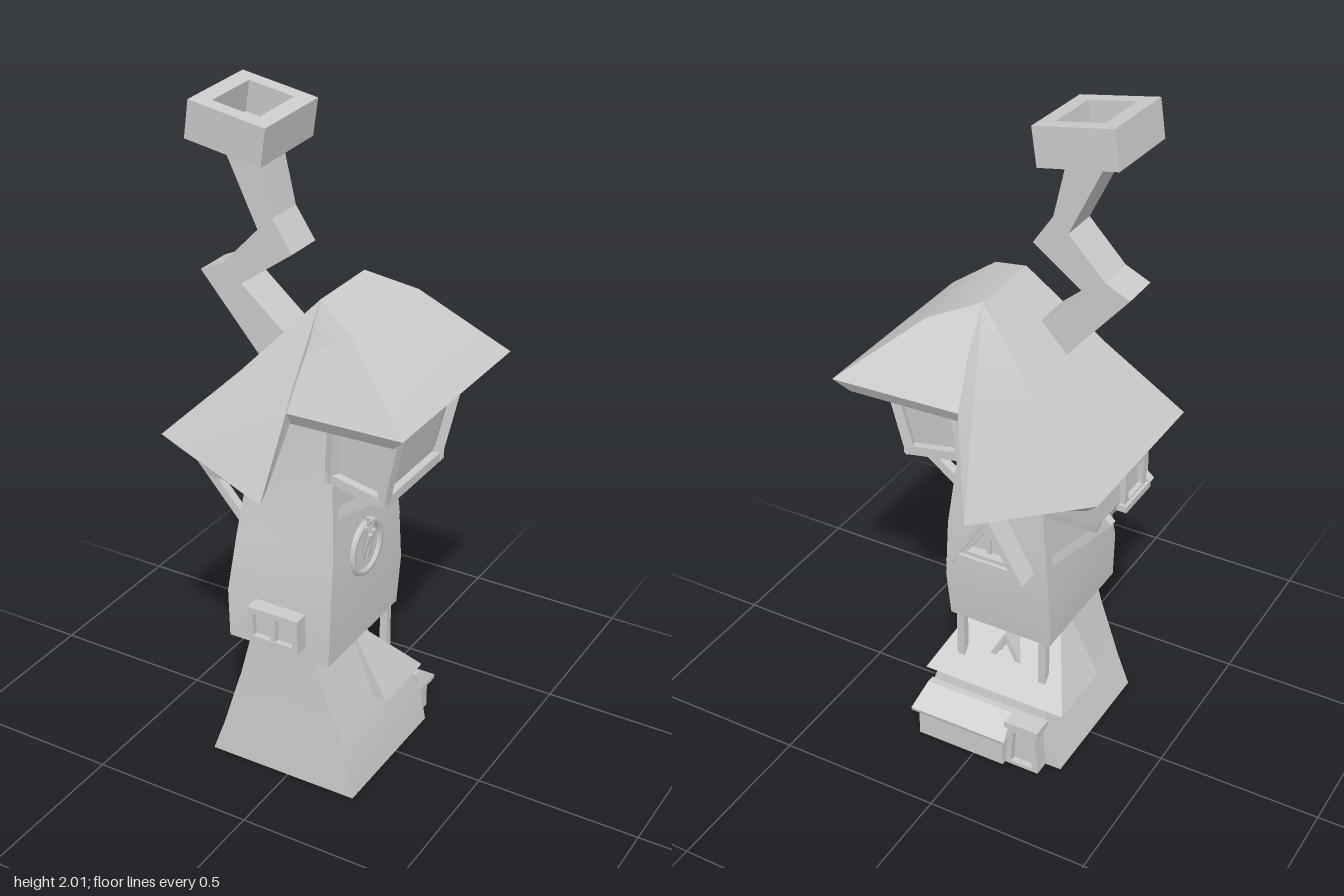
import * as THREE from 'three';
import { toCreasedNormals } from 'three/addons/utils/BufferGeometryUtils.js';

const material = new THREE.MeshStandardMaterial({ color: 0xcccccc });
const V = (x, y, z) => new THREE.Vector3(x, y, z);

export function createModel() {
  const model = new THREE.Group();

  const add = (name, geometry, x = 0, y = 0, z = 0, parent = model) => {
    const mesh = new THREE.Mesh(geometry, material);
    mesh.name = name;
    mesh.position.set(x, y, z);
    parent.add(mesh);
    return mesh;
  };
  const group = (name, x = 0, y = 0, z = 0) => {
    const g = new THREE.Group();
    g.name = name;
    g.position.set(x, y, z);
    model.add(g);
    return g;
  };

  // Rectangular ring at height y, counter-clockwise from above
  const rect = (y, x0, x1, z0, z1) => [V(x0, y, z1), V(x1, y, z1), V(x1, y, z0), V(x0, y, z0)];

  // Skin over a stack of rings, closed at both ends
  const loft = (rings, crease = 0.45) => {
    const n = rings[0].length, last = (rings.length - 1) * n, index = [];
    for (let k = 0; k < rings.length - 1; k++)
      for (let i = 0; i < n; i++) {
        const a = k * n + i, b = k * n + (i + 1) % n;
        index.push(a, b, b + n, a, b + n, a + n);
      }
    for (let i = 1; i < n - 1; i++) index.push(0, i + 1, i, last, last + i, last + i + 1);
    const g = new THREE.BufferGeometry().setFromPoints(rings.flat());
    g.setIndex(index);
    return toCreasedNormals(g, crease);
  };

  // Square timber between two points
  const beam = (name, a, b, w, parent = model) => {
    const m = add(name, new THREE.BoxGeometry(w, w, a.distanceTo(b) + w * 0.9), 0, 0, 0, parent);
    m.position.copy(a).add(b).multiplyScalar(0.5);
    m.lookAt(b);
    return m;
  };

  const extrude = (points, depth, holePoints) => {
    const shape = new THREE.Shape(points.map(p => new THREE.Vector2(...p)));
    if (holePoints) shape.holes.push(new THREE.Path(holePoints.map(p => new THREE.Vector2(...p))));
    return new THREE.ExtrudeGeometry(shape, { depth, bevelEnabled: false });
  };
  const rectPoints = (w, h) => [[-w / 2, -h / 2], [w / 2, -h / 2], [w / 2, h / 2], [-w / 2, h / 2]];

  // Flared base and the main storey
  add('base', loft([
    rect(0, -0.26, 0.22, -0.19, 0.26), rect(0.1, -0.225, 0.2, -0.19, 0.255),
    rect(0.2, -0.195, 0.17, -0.17, 0.25), rect(0.3, -0.165, 0.125, -0.08, 0.245),
    rect(0.44, -0.13, 0.075, 0, 0.24)]));
  const body = loft([
    rect(0.42, -0.2, 0.13, -0.155, 0.245), rect(0.57, -0.205, 0.135, -0.17, 0.242),
    rect(0.75, -0.188, 0.128, -0.165, 0.215), rect(0.98, -0.165, 0.1, -0.15, 0.17),
    rect(1.2, -0.16, 0.1, -0.14, 0.16)]);
  add('tower', body);

  // Main roof: underside, eave, mid slope and ridge
  const eave = [
    V(-0.39, 1.04, 0.275), V(-0.03, 0.945, 0.335), V(0.02, 1.21, 0.275), V(0.385, 1.235, 0.305),
    V(0.385, 1.235, -0.325), V(0.02, 1.21, -0.275), V(-0.03, 0.9, -0.335), V(-0.39, 1.04, -0.255)];
  const mid = [
    V(-0.18, 1.25, 0.19), V(0, 1.245, 0.215), V(0.03, 1.35, 0.19), V(0.16, 1.423, 0.17),
    V(0.16, 1.423, -0.195), V(0.03, 1.35, -0.2), V(0, 1.23, -0.225), V(-0.18, 1.25, -0.193)];
  const ridge = eave.map(p => V(0.025, 1.475, p.z > 0 ? 0.105 : -0.13));
  const lip = eave.map(p => V(p.x * 0.9, p.y + (p.y < 1 ? 0.03 : -0.04), p.z * 0.92));
  const soffit = eave.map(p => V(p.x * 0.5, 1.19, p.z * 0.5));
  add('roof', loft([soffit, lip, eave, mid, ridge], 0.5));

  // Crooked chimney with a hollow, tilted cap
  add('chimney', extrude([
    [-0.1, 1.24], [0.0, 1.3], [-0.065, 1.37], [-0.2, 1.485], [-0.04, 1.6], [-0.1, 1.69],
    [-0.145, 1.89], [-0.26, 1.89], [-0.145, 1.65], [-0.255, 1.535], [-0.33, 1.5], [-0.145, 1.285]],
  0.12), 0, 0, 0.022);
  const cap = group('chimneyCap', -0.2, 1.926, 0.075);
  cap.rotation.set(0.04, 0, -0.17);
  const rim = add('capRim', extrude(rectPoints(0.235, 0.26), 0.11, rectPoints(0.14, 0.175)), 0, -0.055, 0, cap);
  rim.rotation.x = -Math.PI / 2;
  add('capFloor', new THREE.BoxGeometry(0.2, 0.02, 0.22), 0, -0.045, 0, cap);

  // Glazed bay on the left side, carried by two struts
  const bayBottom = [V(0.09, 0.985, 0.16), V(0.255, 0.955, 0.165), V(0.255, 0.955, -0.15), V(0.09, 0.985, -0.15)];
  const bayTop = [V(0.11, 1.21, 0.17), V(0.31, 1.215, 0.175), V(0.31, 1.215, -0.17), V(0.11, 1.21, -0.165)];
  const bay = group('bayWindow');
  const inset = p => V(p.x - 0.012, p.y, p.z * 0.93);
  add('bayGlass', loft([bayBottom.map(inset), bayTop.map(inset)]), 0, 0, 0, bay);
  for (let i = 0; i < 4; i++) {
    beam('bayPost', bayBottom[i], bayTop[i], 0.028, bay);
    beam('baySill', bayBottom[i], bayBottom[(i + 1) % 4], 0.028, bay);
    beam('bayHead', bayTop[i], bayTop[(i + 1) % 4], 0.028, bay);
  }
  for (const z of [0.15, -0.12]) beam('bayStrut', V(0.1, 0.865, z), V(0.22, 0.955, z), 0.028);

  // Oriel on the right side with a small window and long struts
  add('oriel', loft([
    rect(0.86, -0.33, -0.1, -0.14, 0.14), rect(0.9, -0.345, -0.1, -0.15, 0.15),
    rect(1.06, -0.335, -0.1, -0.16, 0.16)], 0.2));
  const small = group('orielWindow', -0.33, 0.94, 0.04);
  small.rotation.y = -Math.PI / 2;
  add('windowFrame', extrude(rectPoints(0.13, 0.12), 0.03, rectPoints(0.09, 0.08)), 0, 0, 0, small);
  add('windowSill', new THREE.BoxGeometry(0.15, 0.02, 0.05), 0, -0.055, 0.015, small);
  for (const z of [0.12, -0.12]) beam('orielStrut', V(-0.355, 0.895, z), V(-0.18, 0.695, z), 0.026);

  // Front window box with two panes
  const box = group('frontWindow', -0.028, 0.515, 0.2);
  add('windowFrame', extrude(rectPoints(0.165, 0.11), 0.088, rectPoints(0.13, 0.075)), 0, 0, 0, box);
  add('windowPane', new THREE.BoxGeometry(0.14, 0.085, 0.06), 0, 0, 0.04, box);
  add('windowMullion', new THREE.BoxGeometry(0.015, 0.085, 0.03), 0, 0, 0.07, box);

  // Round window with a star of glazing bars
  const round = group('roundWindow', 0.13, 0.71, 0.035);
  round.rotation.y = Math.PI / 2;
  add('roundFrame', new THREE.TorusGeometry(0.078, 0.012, 6, 24), 0, 0, 0, round);
  const star = i => V(Math.sin(i * Math.PI * 0.4) * 0.076, Math.cos(i * Math.PI * 0.4) * 0.076, 0.002);
  for (let i = 0; i < 5; i++) beam('starBar', star(i), star(i + 2), 0.009, round);

  // Triangular dormers at the back
  const dormer = (name, x, y, z, half, height, depth) => {
    const g = group(name, x, y, z);
    const tri = (k, lift) => [[-half * k, lift], [half * k, lift], [0, lift + height * k]];
    add('dormerFrame', extrude(tri(1, 0), depth, tri(0.6, height * 0.14)), 0, 0, 0.012, g);
    add('dormerPane', extrude(tri(0.75, height * 0.07), depth - 0.04), 0, 0, 0.04, g);
    add('dormerBar', new THREE.BoxGeometry(0.01, height * 0.75, 0.015), 0, height * 0.45, 0.035, g);
    const o = half * 1.25, t = height * 0.17;
    add('dormerRoof', extrude([[-o, -t], [-o + 0.018, -t - 0.008], [0, height - 0.012],
      [o - 0.018, -t - 0.008], [o, -t], [0, height + t]], depth), 0, 0, 0, g);
    add('dormerSill', new THREE.BoxGeometry(half * 2, 0.02, depth), 0, 0, depth / 2, g);
  };
  dormer('upperDormer', -0.03, 0.7, -0.235, 0.1, 0.152, 0.13);
  dormer('lowerDormer', -0.03, 0.25, -0.115, 0.062, 0.105, 0.13);

  // Back porch: lean-to roof and posts under the main storey
  add('porchRoof', loft([
    rect(0.2, -0.26, 0.205, -0.185, 0.04), rect(0.44, -0.135, 0.08, 0.03, 0.04)]));
  for (const x of [-0.165, 0.11])
    add('porchPost', new THREE.BoxGeometry(0.024, 0.19, 0.024), x, 0.335, -0.125);

  // Small shed and the back door
  add('shed', new THREE.BoxGeometry(0.29, 0.1, 0.08), 0.045, 0.05, -0.215);
  add('shedRoof', loft([
    rect(0.095, -0.115, 0.205, -0.272, -0.18), rect(0.107, -0.115, 0.205, -0.275, -0.18),
    rect(0.16, -0.1, 0.19, -0.2, -0.175)], 0.1));
  const door = group('backDoor', -0.155, 0, -0.24);
  add('doorFrame', extrude([[-0.055, 0], [0.055, 0], [0.043, 0.145], [-0.043, 0.145]], 0.06,
    [[-0.036, 0.012], [0.036, 0.012], [0.028, 0.125], [-0.028, 0.125]]), 0, 0, 0, door);
  add('doorLeaf', new THREE.BoxGeometry(0.07, 0.13, 0.03), 0, 0.07, 0.035, door);
  add('doorLintel', new THREE.BoxGeometry(0.11, 0.02, 0.07), 0, 0.15, 0.03, door);

  return model;
}
